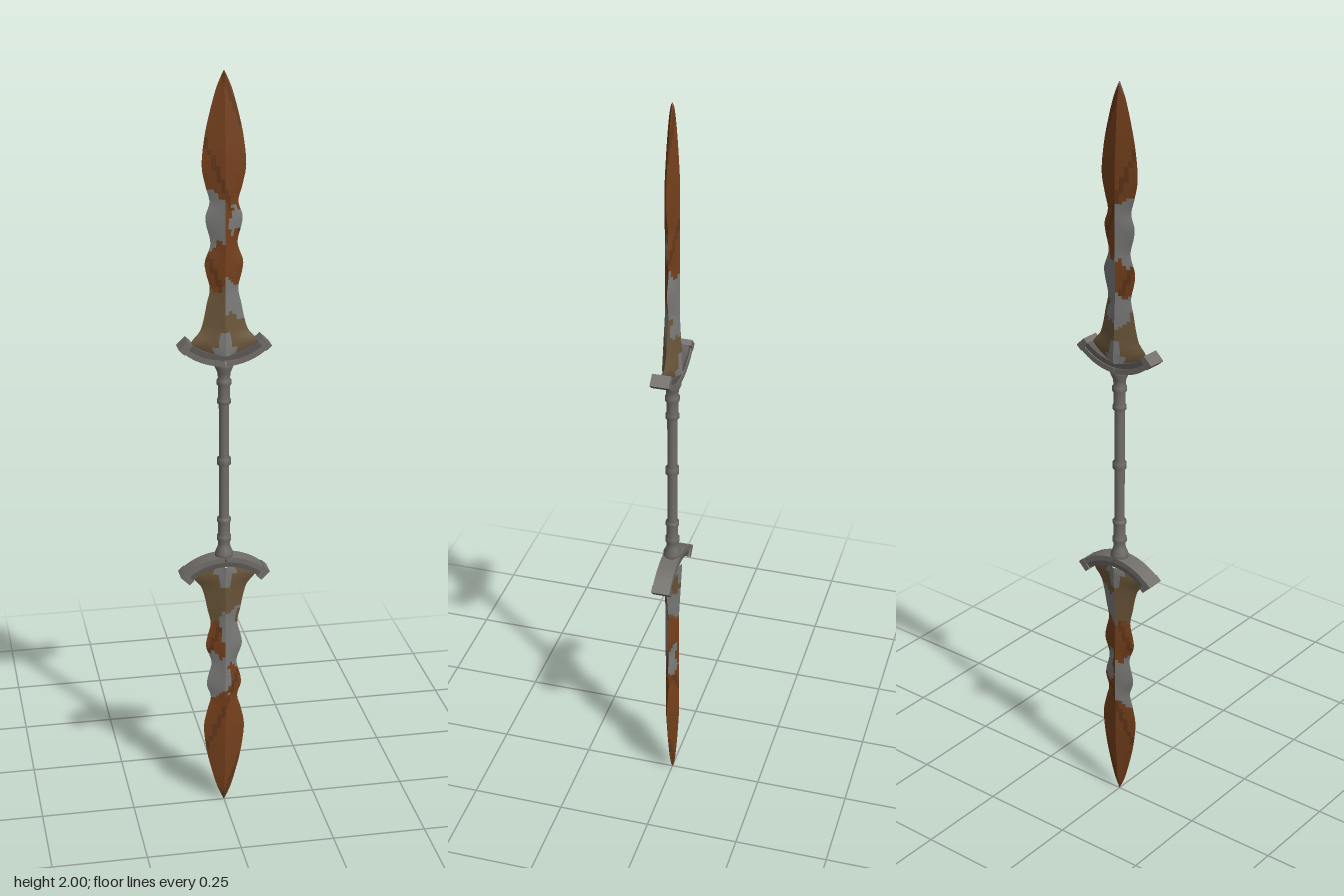
import * as THREE from 'three';

const mat = (name, color) => Object.assign(new THREE.MeshStandardMaterial({ color }), { name });
const rust = mat('rust', 0x75401c);
const darkRust = mat('darkRust', 0x63371a);
const tan = mat('tarnishedBrown', 0x6b563a);
const bare = mat('bareSteel', 0x7a7a79);
const steel = mat('agedSteel', 0x706d68);
const darkSteel = mat('darkSteel', 0x5a5753);

// Half width against height, tip to base
const outline = new THREE.SplineCurve([
  [0, 2], [0.018, 1.96], [0.035, 1.9], [0.048, 1.84], [0.055, 1.77], [0.046, 1.72], [0.036, 1.68],
  [0.046, 1.645], [0.044, 1.62], [0.034, 1.575], [0.048, 1.53], [0.045, 1.5], [0.036, 1.46],
  [0.044, 1.42], [0.052, 1.38], [0.062, 1.35], [0.085, 1.318], [0.06, 1.29],
].map(([w, y]) => new THREE.Vector2(w, y)));

// Worn patches as [x0, x1, y0, y1], heights counted from the guard towards the tip
const worn = {
  upperFront: [[-0.06, 0, 1.57, 1.7], [0, 0.06, 1.39, 1.48], [0.015, 0.06, 1.6, 1.66]],
  upperBack: [[-0.06, 0, 1.55, 1.71], [0, 0.06, 1.46, 1.57], [-0.04, 0.03, 1.39, 1.47]],
  lowerFront: [[-0.06, 0.015, 1.55, 1.67], [0, 0.06, 1.49, 1.58], [-0.01, 0.035, 1.42, 1.5]],
  lowerBack: [[-0.06, 0, 1.57, 1.71], [0, 0.06, 1.37, 1.45], [0.01, 0.06, 1.56, 1.64]],
};

// Index into the blade materials for a point on the blade
function paint(x, y, patches) {
  if (y < 1.36 - Math.abs(x) * 2) return 3;
  const dx = Math.sin(y * 90) * 0.006, dy = Math.sin(x * 130 + y * 20) * 0.012;
  if (patches.some(([a, b, c, d]) => x + dx * Math.sign(a * b) > a && x + dx * Math.sign(a * b) < b
    && y + dy > c && y + dy < d)) return 3;
  if (y + dy < 1.46) return 2;
  return Math.sin(y * 23 + x * 60) > 0.93 ? 1 : 0;
}

// Diamond-section blade made of four faces, each cut into coloured cells
function blade(lower) {
  const rows = outline.getPoints(85), cols = 5;
  const depth = (y) => y > 1.8 ? 0.019 * Math.sqrt(Math.max(0, (2 - y) / 0.2))
    : y < 1.45 ? 0.019 + (1.45 - y) * 0.05 : 0.019;
  const cells = [[], [], [], []];
  for (const front of [1, -1]) {
    const patches = worn[(lower ? 'lower' : 'upper') + (front > 0 ? 'Front' : 'Back')];
    const point = (row, t) => [row.x * t, lower ? 2 - row.y : row.y, front * depth(row.y) * (1 - Math.abs(t))];
    for (let i = 0; i < rows.length - 1; i++) {
      for (let j = -cols; j < cols; j++) {
        const t0 = j / cols, t1 = (j + 1) / cols, a = rows[i], b = rows[i + 1];
        const p = [point(a, t0), point(b, t0), point(b, t1), point(a, t1)];
        const order = (front > 0) !== lower ? [0, 1, 2, 0, 2, 3] : [0, 2, 1, 0, 3, 2];
        const x = (a.x + b.x) / 2 * (t0 + t1) / 2, y = (a.y + b.y) / 2;
        const list = cells[paint(x, y, patches)];
        for (const k of order) list.push(...p[k]);
      }
    }
  }
  const geometry = new THREE.BufferGeometry();
  let start = 0;
  cells.forEach((c, i) => {
    geometry.addGroup(start, c.length / 3, i);
    start += c.length / 3;
  });
  geometry.setAttribute('position', new THREE.Float32BufferAttribute(cells.flat(), 3));
  geometry.computeVertexNormals();
  const mesh = new THREE.Mesh(geometry, [rust, darkRust, tan, bare]);
  mesh.name = lower ? 'lowerBlade' : 'upperBlade';
  return mesh;
}

// Piece of a curved bar around the guard's centre, angles measured from straight down
function arcBar(name, r0, r1, from, to, depth, material) {
  const down = -Math.PI / 2, shape = new THREE.Shape();
  shape.absarc(0, 0, r1, down + from, down + to, false);
  shape.absarc(0, 0, r0, down + to, down + from, true);
  const geometry = new THREE.ExtrudeGeometry(shape, { depth, bevelEnabled: false, curveSegments: 16 });
  geometry.translate(0, 0.426, -depth / 2);
  const mesh = new THREE.Mesh(geometry, material);
  mesh.name = name;
  return mesh;
}

function guard(lower) {
  const g = new THREE.Group();
  g.name = lower ? 'lowerGuard' : 'upperGuard';
  g.add(arcBar('guardOuterBand', 0.149, 0.163, -0.78, 0.78, 0.047, steel));
  g.add(arcBar('guardInnerBand', 0.135, 0.15, -0.78, 0.78, 0.041, darkSteel));
  for (const s of [-1, 1]) {
    g.add(arcBar('guardEnd', 0.133, 0.165, s * 0.74 - 0.06, s * 0.74 + 0.06, 0.049, steel));
  }
  g.position.y = 1;
  if (lower) g.rotation.z = Math.PI;
  return g;
}

export function createModel() {
  const model = new THREE.Group();
  model.name = 'doubleBladedSword';
  for (const lower of [false, true]) model.add(blade(lower), guard(lower));

  // Turned grip with collars and flared ends
  const half = [
    [0.0135, 0.012], [0.0135, 0.155], [0.018, 0.158], [0.018, 0.168], [0.0155, 0.171], [0.0155, 0.205],
    [0.019, 0.208], [0.019, 0.22], [0.0155, 0.224], [0.017, 0.24], [0.024, 0.256], [0.024, 0.275], [0, 0.275],
  ];
  const profile = [...half.map(([r, y]) => [r, -y]).reverse(), [0.018, -0.009], [0.018, 0.009], ...half];
  const grip = new THREE.Mesh(new THREE.LatheGeometry(
    profile.map(([r, y]) => new THREE.Vector2(r, y + 1)), 12), steel);
  grip.name = 'grip';
  model.add(grip);
  return model;
}
